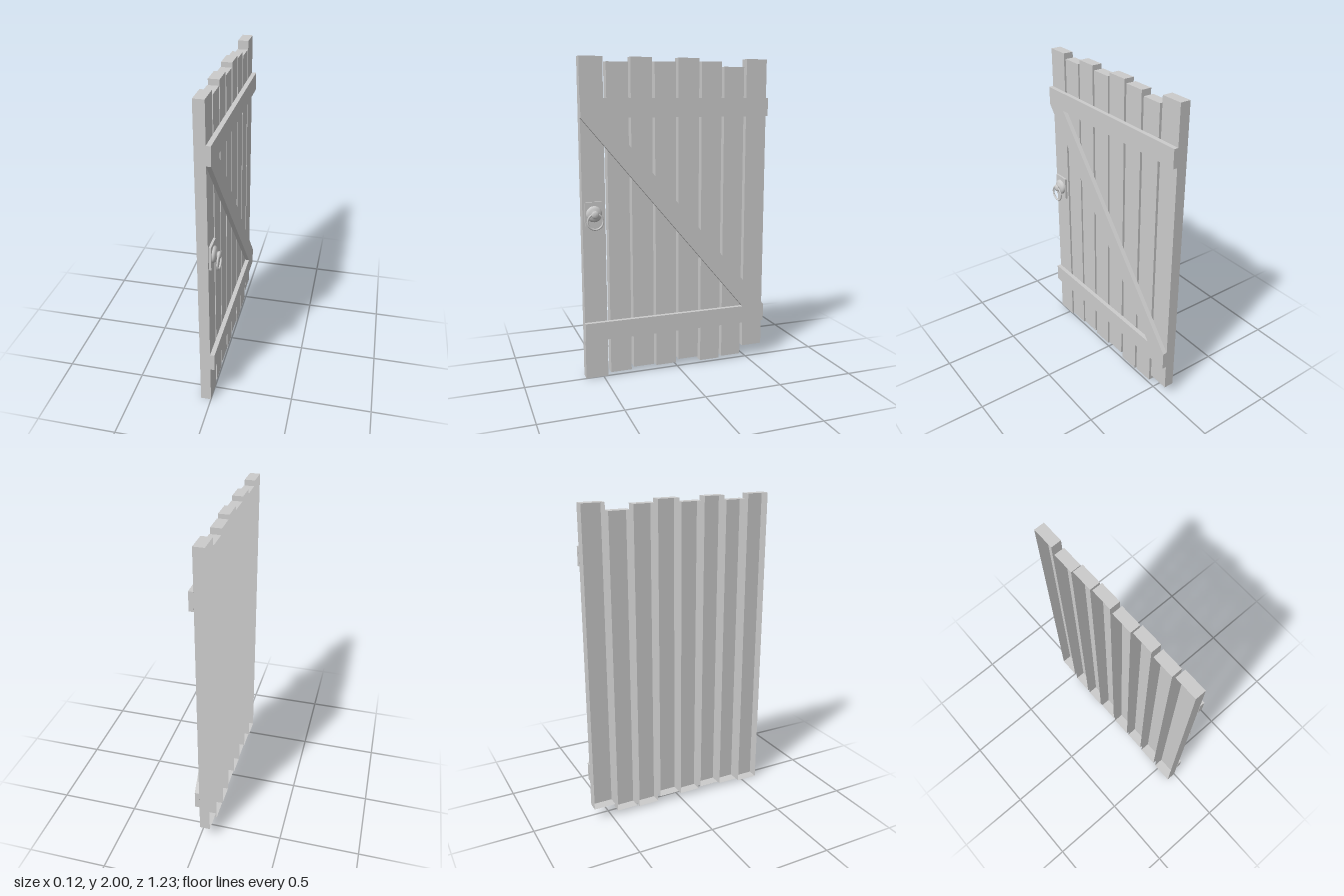
import * as THREE from 'three';

const material = new THREE.MeshStandardMaterial({ color: 0xcccccc, side: THREE.DoubleSide });

function addMesh(parent, name, geometry, x = 0, y = 0, z = 0) {
  const mesh = new THREE.Mesh(geometry, material);
  mesh.name = name;
  mesh.position.set(x, y, z);
  parent.add(mesh);
  return mesh;
}

// Box whose -x side is left open
function openBackBox(w, h, d) {
  const geometry = new THREE.BoxGeometry(w, h, d);
  const index = Array.from(geometry.index.array);
  index.splice(6, 6);
  geometry.setIndex(index);
  geometry.clearGroups();
  return geometry;
}

export function createModel() {
  const gate = new THREE.Group();
  gate.name = 'plankGate';

  // Uneven vertical planks: [z centre, width, bottom, top]
  const planks = new THREE.Group();
  planks.name = 'planks';
  gate.add(planks);
  const rows = [
    [0.541, 0.143, 0, 2],
    [0.382, 0.136, 0.02, 1.97],
    [0.23, 0.136, 0.035, 2],
    [0.076, 0.138, 0.025, 1.975],
    [-0.078, 0.138, 0.045, 2],
    [-0.233, 0.136, 0.015, 1.98],
    [-0.387, 0.136, 0.025, 1.95],
    [-0.544, 0.141, 0.08, 2],
  ];
  const depth = 0.065;
  rows.forEach(([z, width, bottom, top], i) => {
    addMesh(planks, `plank${i + 1}`, openBackBox(depth, top - bottom, width), -depth / 2, (top + bottom) / 2, z);
  });

  // Two rails and the diagonal, cut as one Z; shape x runs along -z
  const outline = [
    [-0.615, 1.755], [-0.615, 1.64], [0.46, 0.37], [-0.615, 0.37],
    [-0.615, 0.255], [0.615, 0.255], [0.615, 0.37], [-0.46, 1.64],
    [0.615, 1.64], [0.615, 1.755],
  ].map(([x, y]) => new THREE.Vector2(x, y));
  const zBrace = new THREE.ExtrudeGeometry(new THREE.Shape(outline), { depth: 0.028, bevelEnabled: false });
  zBrace.rotateY(Math.PI / 2);
  addMesh(gate, 'zBrace', zBrace);

  // Handle: plate, turned boss with knob, and a hanging ring
  const handle = new THREE.Group();
  handle.name = 'ringHandle';
  handle.position.set(0, 1.06, 0.543);
  gate.add(handle);
  addMesh(handle, 'handlePlate', new THREE.BoxGeometry(0.014, 0.148, 0.112), 0.007, 0, 0);

  const profile = [
    [0.05, 0.012], [0.049, 0.021], [0.044, 0.028], [0.035, 0.033], [0.022, 0.036],
    [0.017, 0.04], [0.022, 0.044], [0.024, 0.049], [0.021, 0.055], [0.012, 0.059], [0, 0.06],
  ].map(([r, h]) => new THREE.Vector2(r, h));
  const boss = new THREE.LatheGeometry(profile, 32);
  boss.rotateZ(-Math.PI / 2);
  addMesh(handle, 'handleBoss', boss);

  const ring = new THREE.TorusGeometry(0.048, 0.006, 12, 40);
  ring.rotateY(Math.PI / 2);
  addMesh(handle, 'handleRing', ring, 0.047, -0.043, 0);

  return gate;
}
